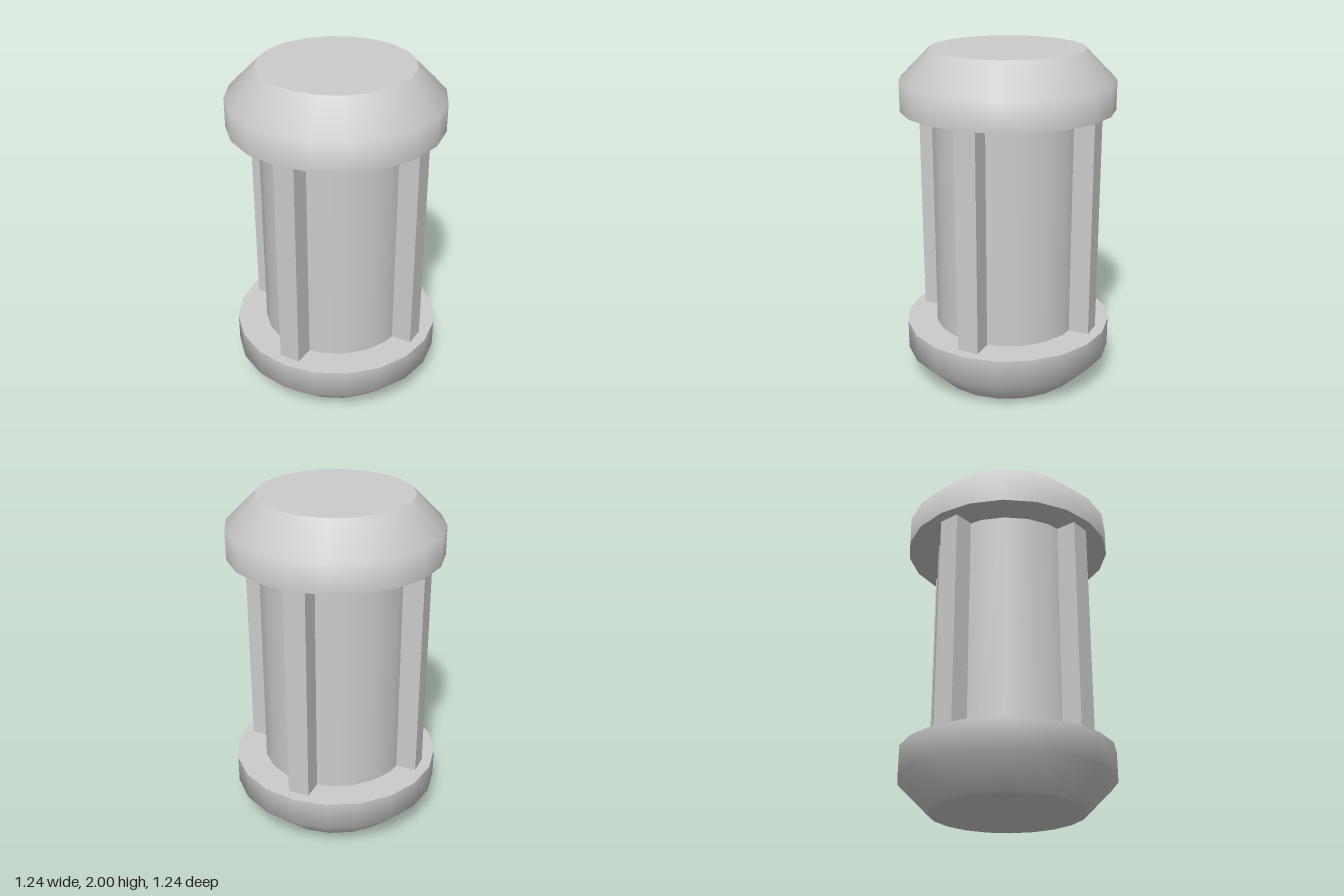
import * as THREE from 'three';

const SIDES = 20;
const CAP_RADIUS = 0.62, END_RADIUS = 0.445, CORE_RADIUS = 0.44;
const CAP_BASE = 1.655, CAP_SHOULDER = 1.825, TOP = 2;
const MID = TOP / 2;
const SHAFT_HEIGHT = 2 * (CAP_BASE - MID);

const material = new THREE.MeshStandardMaterial({ color: 0xcccccc });

function addMesh(parent, name, geometry) {
  const mesh = new THREE.Mesh(geometry, material);
  mesh.name = name;
  parent.add(mesh);
  return mesh;
}

// Chamfered cap, measured from the middle of the model upwards
function createCap(name) {
  const cap = new THREE.Group();
  cap.name = name;
  const profile = [
    new THREE.Vector2(CAP_RADIUS, CAP_BASE - MID),
    new THREE.Vector2(CAP_RADIUS, CAP_SHOULDER - MID),
    new THREE.Vector2(END_RADIUS, TOP - MID),
  ];
  addMesh(cap, 'capSide', new THREE.LatheGeometry(profile, SIDES));

  const end = addMesh(cap, 'capEnd', new THREE.CircleGeometry(END_RADIUS, SIDES));
  end.rotation.x = -Math.PI / 2;
  end.position.y = TOP - MID;

  const inner = addMesh(cap, 'capInnerFace', new THREE.CircleGeometry(CAP_RADIUS, SIDES));
  inner.rotation.x = Math.PI / 2;
  inner.position.y = CAP_BASE - MID;

  cap.position.y = MID;
  return cap;
}

export function createModel() {
  const model = new THREE.Group();
  model.name = 'ribbedCylinder';

  // Core between the caps
  const core = addMesh(model, 'core',
    new THREE.CylinderGeometry(CORE_RADIUS, CORE_RADIUS, SHAFT_HEIGHT, SIDES, 1, true));
  core.position.y = MID;

  // Four upright ribs, one on each side
  const ribInner = 0.38, ribOuter = 0.552;
  const ribGeometry = new THREE.BoxGeometry(0.126, SHAFT_HEIGHT, ribOuter - ribInner);
  ribGeometry.translate(0, MID, (ribInner + ribOuter) / 2);
  for (let i = 0; i < 4; i++) {
    addMesh(model, `rib${i + 1}`, ribGeometry).rotation.y = i * Math.PI / 2;
  }

  // Matching caps at both ends
  model.add(createCap('topCap'));
  const bottomCap = createCap('bottomCap');
  bottomCap.rotation.x = Math.PI;
  model.add(bottomCap);

  return model;
}
